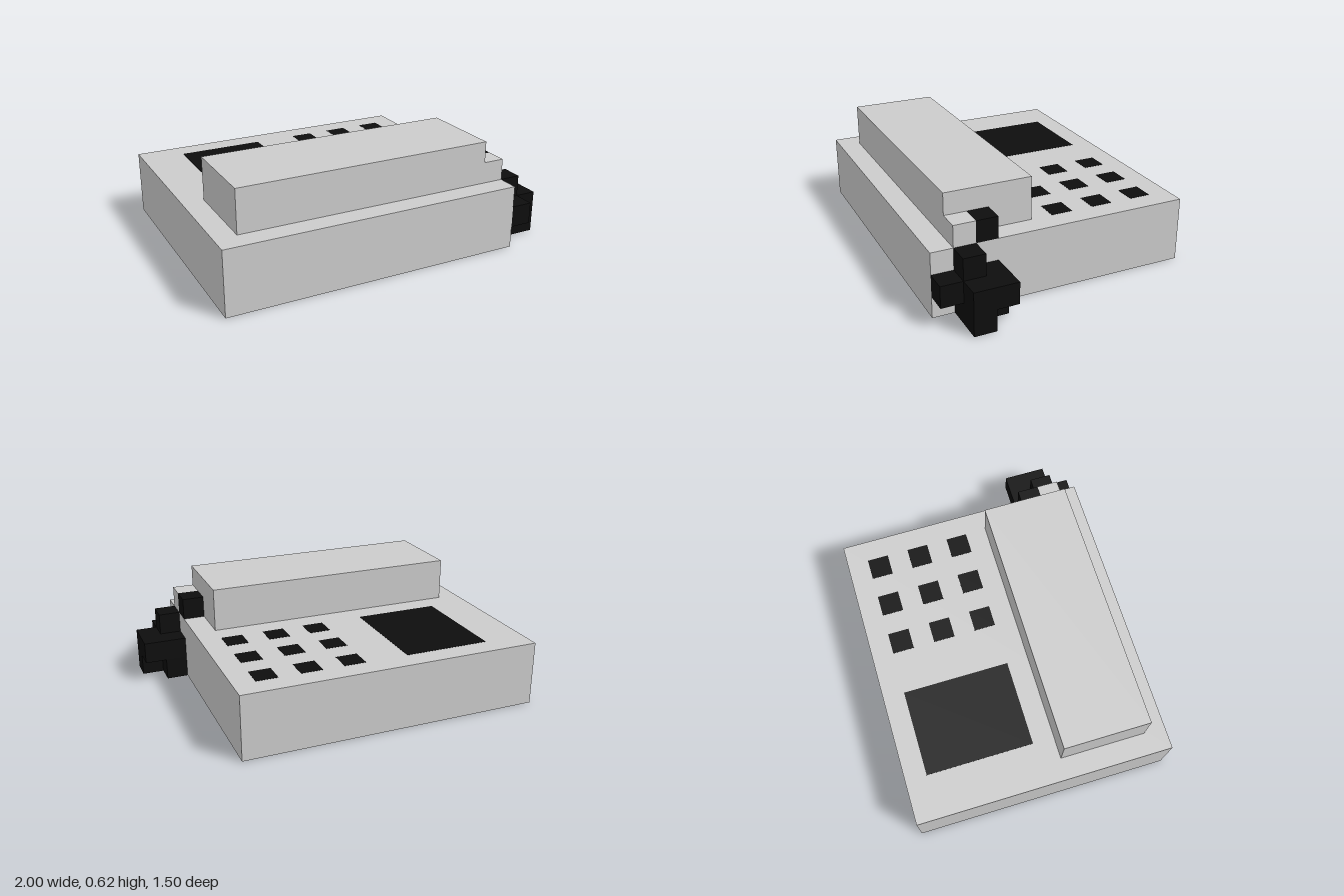
import * as THREE from 'three';

const U = 0.125; // one block of the model's grid

export function createModel() {
  const phone = new THREE.Group();
  phone.name = 'deskTelephone';
  const grey = new THREE.MeshStandardMaterial({ color: 0xcccccc, flatShading: true });
  const black = new THREE.MeshStandardMaterial({ color: 0x0d0d0d, flatShading: true });

  // box from its low corner and size, all in grid blocks
  function block(name, [x, y, z], [w, h, d], material, parent = phone) {
    const mesh = new THREE.Mesh(new THREE.BoxGeometry(w * U, h * U, d * U), material);
    mesh.position.set((x + w / 2) * U, (y + h / 2) * U, (z + d / 2) * U);
    mesh.name = name;
    parent.add(mesh);
    return mesh;
  }

  // body, handset and the socket at the handset's end
  block('base', [-8, 0, -6], [14, 3, 12], grey);
  block('handset', [-7, 3, 1], [12, 2, 4], grey);
  block('cordSocket', [5, 3, 4], [1, 1, 1], grey);

  // screen and keys, nearly flush with the top of the base
  const inlay = 0.01;
  block('screen', [-6, 3, -5], [4, inlay, 5], black);
  const keypad = new THREE.Group();
  keypad.name = 'keypad';
  phone.add(keypad);
  for (let row = 0; row < 3; row++) {
    for (let col = 0; col < 3; col++) {
      block('key', [col * 2, 3, row * 2 - 5], [1, inlay, 1], black, keypad);
    }
  }

  // blocky coiled cord beside the base
  const cord = new THREE.Group();
  cord.name = 'cord';
  phone.add(cord);
  block('cordTop', [5, 3, 3], [1, 1, 1], black, cord);
  block('cordRise', [6, 2, 4], [1, 1, 1], black, cord);
  block('cordFrontLoop', [6, 1, 5], [1, 1, 1], black, cord);
  block('cordUpperCoil', [6, 1, 3], [2, 1, 2], black, cord);
  block('cordLowerCoil', [6, 0, 3], [1, 1, 2], black, cord);
  block('cordOuterLoop', [7, 0, 4], [1, 1, 1], black, cord);

  return phone;
}
